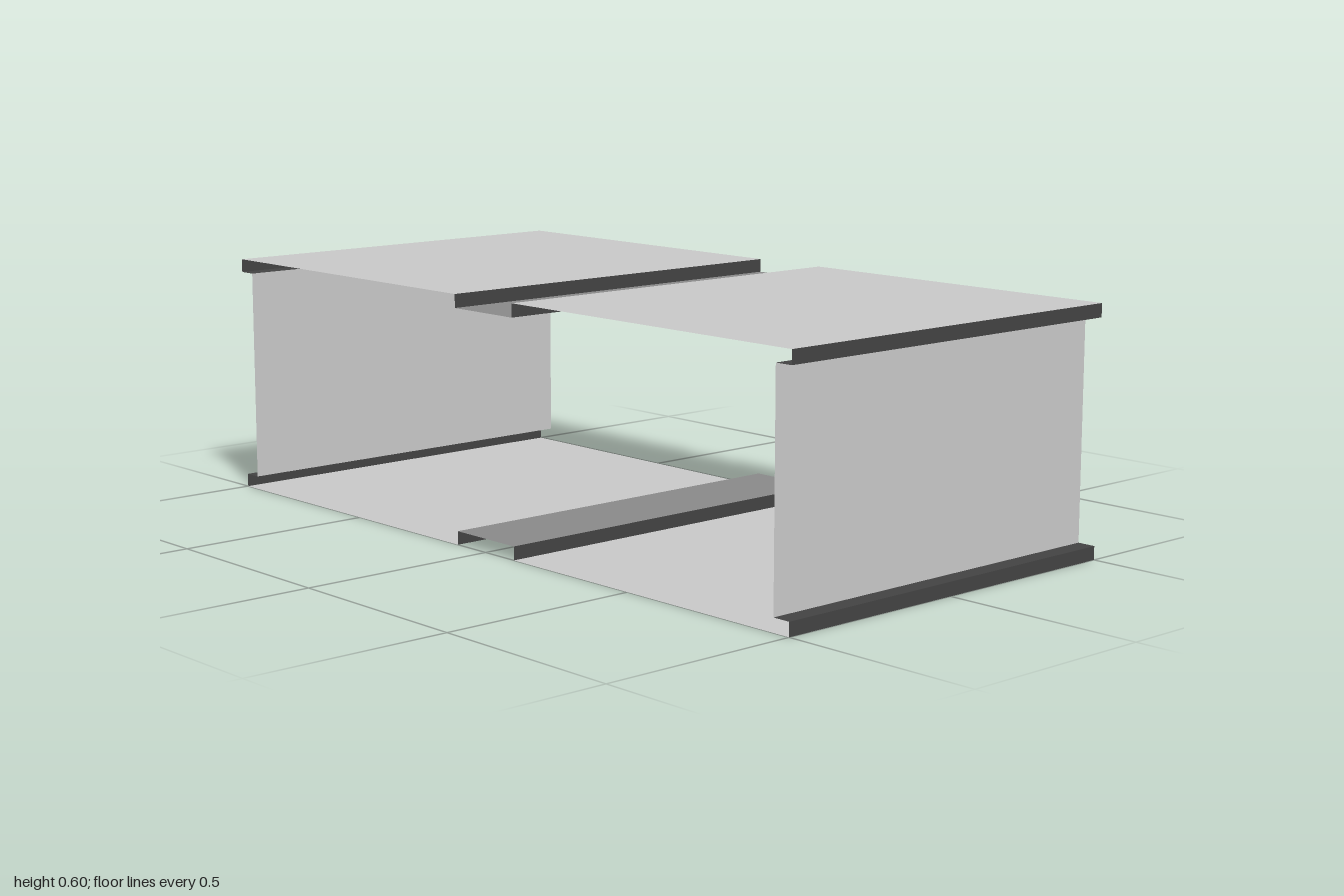
import * as THREE from 'three';

const WIDTH = 1, HEIGHT = 0.6;

const material = (color) => new THREE.MeshStandardMaterial({ color, side: THREE.DoubleSide });

// Flat sheet across the full width, running from one [z, y] point to the next
function sheet(name, [z0, y0], [z1, y1], mat) {
  const dz = z1 - z0, dy = y1 - y0;
  const mesh = new THREE.Mesh(new THREE.PlaneGeometry(WIDTH, Math.hypot(dz, dy)), mat);
  mesh.rotation.x = Math.atan2(dz, dy);
  mesh.position.set(0, (y0 + y1) / 2 - HEIGHT / 2, (z0 + z1) / 2);
  mesh.name = name;
  return mesh;
}

export function createModel() {
  const main = material(0xcccccc);
  const band = material(0x8c8c8c);
  const trim = material(0x444444);

  const step = 0.033;   // depth of the lips and the centre grooves
  const groove = 0.105; // half width of the centre grooves
  const inset = 0.954;  // z of the recessed end wall
  const top = HEIGHT, low = step, high = HEIGHT - step;

  // Half of the closed profile: along the bottom, up the end, back along the top
  const start = [-groove, low];
  const path = [
    ['grooveBand', [groove, low], band],
    ['lowerGrooveSide', [groove, 0], trim],
    ['bottomPanel', [1, 0], main],
    ['lowerLip', [1, low], trim],
    ['lowerLedge', [inset, low], trim],
    ['endWall', [inset, high], main],
    ['upperLedge', [1, high], trim],
    ['upperLip', [1, top], trim],
    ['topPanel', [groove, top], main],
    ['upperGrooveSide', [groove, high], trim],
  ];

  const model = new THREE.Group();
  model.name = 'openSleeve';

  // The second half is the first turned half a turn about the width axis
  for (const [name, turn] of [['frontHalf', 0], ['backHalf', Math.PI]]) {
    const half = new THREE.Group();
    half.name = name;
    let from = start;
    for (const [part, to, mat] of path) {
      half.add(sheet(part, from, to, mat));
      from = to;
    }
    half.rotation.x = turn;
    half.position.y = HEIGHT / 2;
    model.add(half);
  }
  return model;
}
